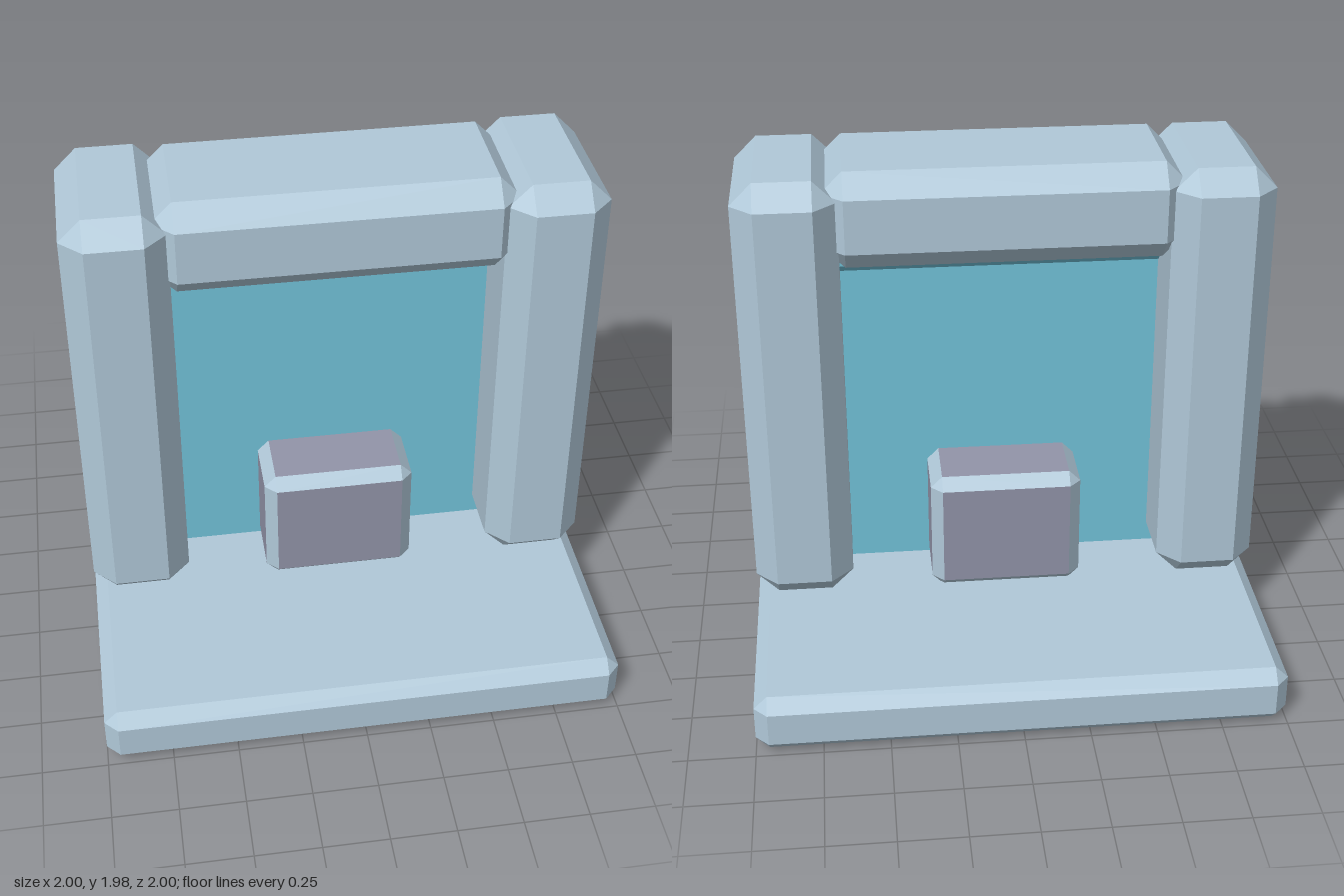
import * as THREE from 'three';
import { ConvexGeometry } from 'three/addons/geometries/ConvexGeometry.js';

// Box spanning min..max with every edge cut at 45 degrees by c.
// Group material 0 = flat faces, 1 = cut edges.
function chamferBox(min, max, c) {
  const mid = min.map((v, i) => (v + max[i]) / 2);
  const half = min.map((v, i) => (max[i] - v) / 2);
  const points = [];
  for (const sx of [-1, 1]) for (const sy of [-1, 1]) for (const sz of [-1, 1]) {
    const s = [sx, sy, sz];
    for (let full = 0; full < 3; full++) {
      points.push(new THREE.Vector3(
        ...s.map((sign, i) => mid[i] + sign * (half[i] - (i === full ? 0 : c)))));
    }
  }
  const geometry = new ConvexGeometry(points);
  const n = geometry.attributes.normal;
  for (let i = 0; i < n.count; i += 3) {
    const axis = Math.max(Math.abs(n.getX(i)), Math.abs(n.getY(i)), Math.abs(n.getZ(i)));
    geometry.addGroup(i, 3, axis > 0.99 ? 0 : 1);
  }
  return geometry;
}

export function createModel() {
  const model = new THREE.Group();
  model.name = 'gateway';

  const material = (name, color) => {
    const m = new THREE.MeshStandardMaterial({ color });
    m.name = name;
    return m;
  };
  const stone = material('paleBlueGrey', 0xb0c8d8);
  const teal = material('teal', 0x72c3da);
  const mauve = material('mauveGrey', 0x9294a9);

  const add = (name, min, max, c, faces, edges = faces) => {
    const mesh = new THREE.Mesh(chamferBox(min, max, c), [faces, edges]);
    mesh.name = name;
    model.add(mesh);
  };

  // Square slab
  add('base', [-1, 0, -1], [1, 0.23, 1], 0.05, stone);

  // Two uprights and the beam between them
  add('leftPillar', [0.615, 0.23, -0.345], [1, 1.965, 0.345], 0.086, stone);
  add('rightPillar', [-1, 0.23, -0.345], [-0.615, 1.965, 0.345], 0.086, stone);
  add('topBeam', [-0.675, 1.605, -0.295], [0.675, 1.98, 0.295], 0.083, stone);

  // Thin panel filling the opening, with a rail along its top
  add('panel', [-0.675, 0.22, -0.02], [0.675, 1.66, 0.02], 0.004, teal);
  add('panelRail', [-0.675, 1.515, -0.06], [0.675, 1.68, 0.06], 0.03, teal);

  // Small block through the foot of the panel, with pale cut edges
  add('centreBlock', [-0.297, 0.215, -0.297], [0.297, 0.715, 0.297], 0.045, mauve, stone);

  return model;
}
